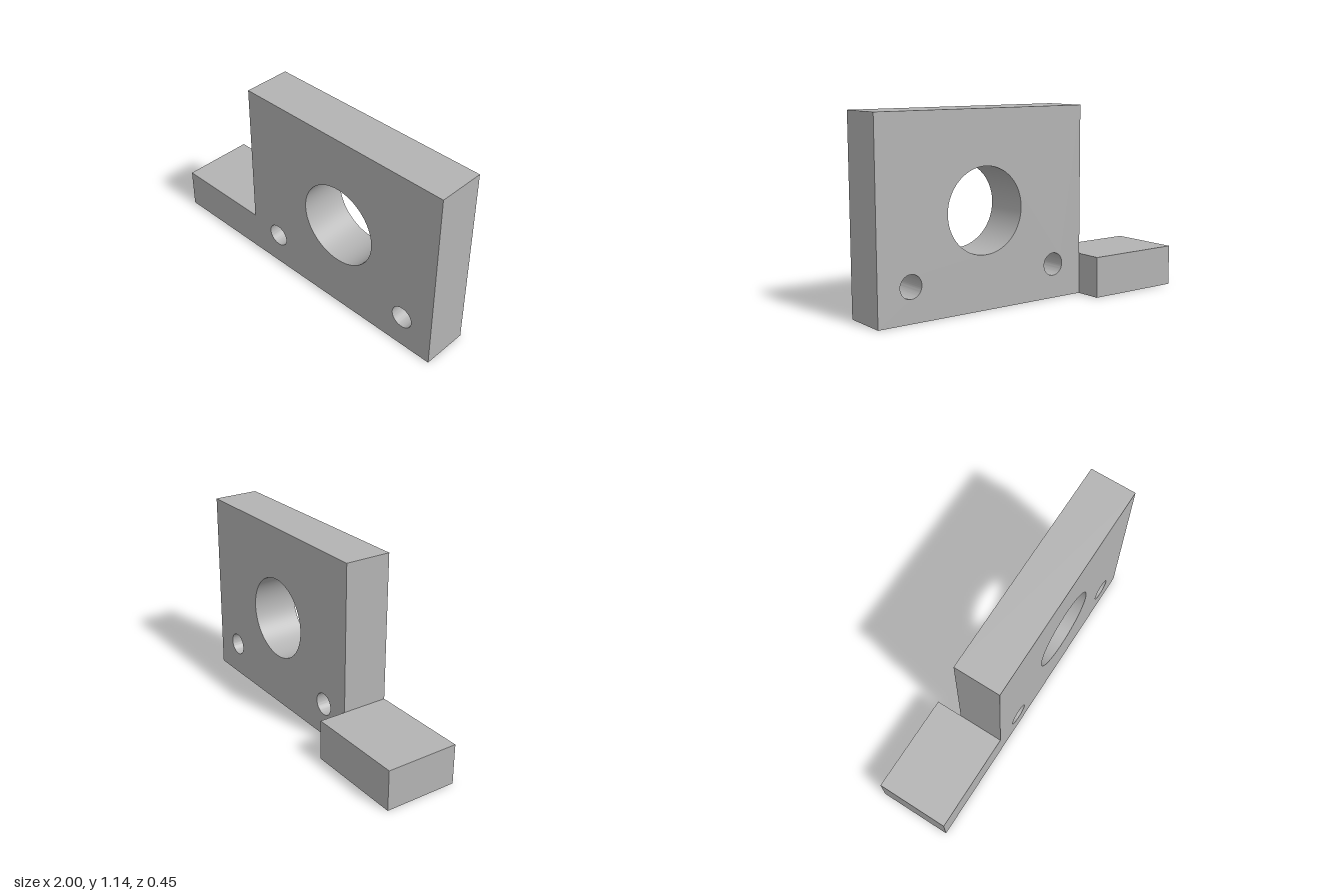
import * as THREE from 'three';
import { toCreasedNormals } from 'three/addons/utils/BufferGeometryUtils.js';

const LEFT = 1, RIGHT = -1, STEP = -0.39;   // x limits of the bracket and the plate edge
const HEIGHT = 1.143, FOOT_HEIGHT = 0.245;
const FRONT = 0.224, PLATE_BACK = -0.06, FOOT_BACK = -0.224;

export function createModel() {
  const group = new THREE.Group();
  group.name = 'mountingBracket';
  const grey = new THREE.MeshStandardMaterial({ color: 0xb3b3b3 });
  grey.name = 'grey';

  // Upright plate with a central bore and two bolt holes
  const outline = new THREE.Shape([
    new THREE.Vector2(STEP, 0),
    new THREE.Vector2(LEFT, 0),
    new THREE.Vector2(LEFT, HEIGHT),
    new THREE.Vector2(STEP, HEIGHT),
  ]);
  const centre = (STEP + LEFT) / 2;
  const holes = [
    [centre, HEIGHT / 2, 0.251],
    [centre - 0.49, 0.205, 0.068],
    [centre + 0.49, 0.205, 0.068],
  ];
  for (const [x, y, r] of holes) {
    outline.holes.push(new THREE.Path().absarc(x, y, r, 0, Math.PI * 2, true));
  }
  const plateGeometry = new THREE.ExtrudeGeometry(outline, {
    depth: FRONT - PLATE_BACK, bevelEnabled: false, curveSegments: 64,
  });
  plateGeometry.translate(0, 0, PLATE_BACK);
  const plate = new THREE.Mesh(toCreasedNormals(plateGeometry, 0.6), grey);
  plate.name = 'plate';
  group.add(plate);

  // Low, deeper foot block at the side of the plate
  const foot = new THREE.Mesh(
    new THREE.BoxGeometry(STEP - RIGHT, FOOT_HEIGHT, FRONT - FOOT_BACK), grey);
  foot.position.set((STEP + RIGHT) / 2, FOOT_HEIGHT / 2, (FRONT + FOOT_BACK) / 2);
  foot.name = 'foot';
  group.add(foot);

  return group;
}
